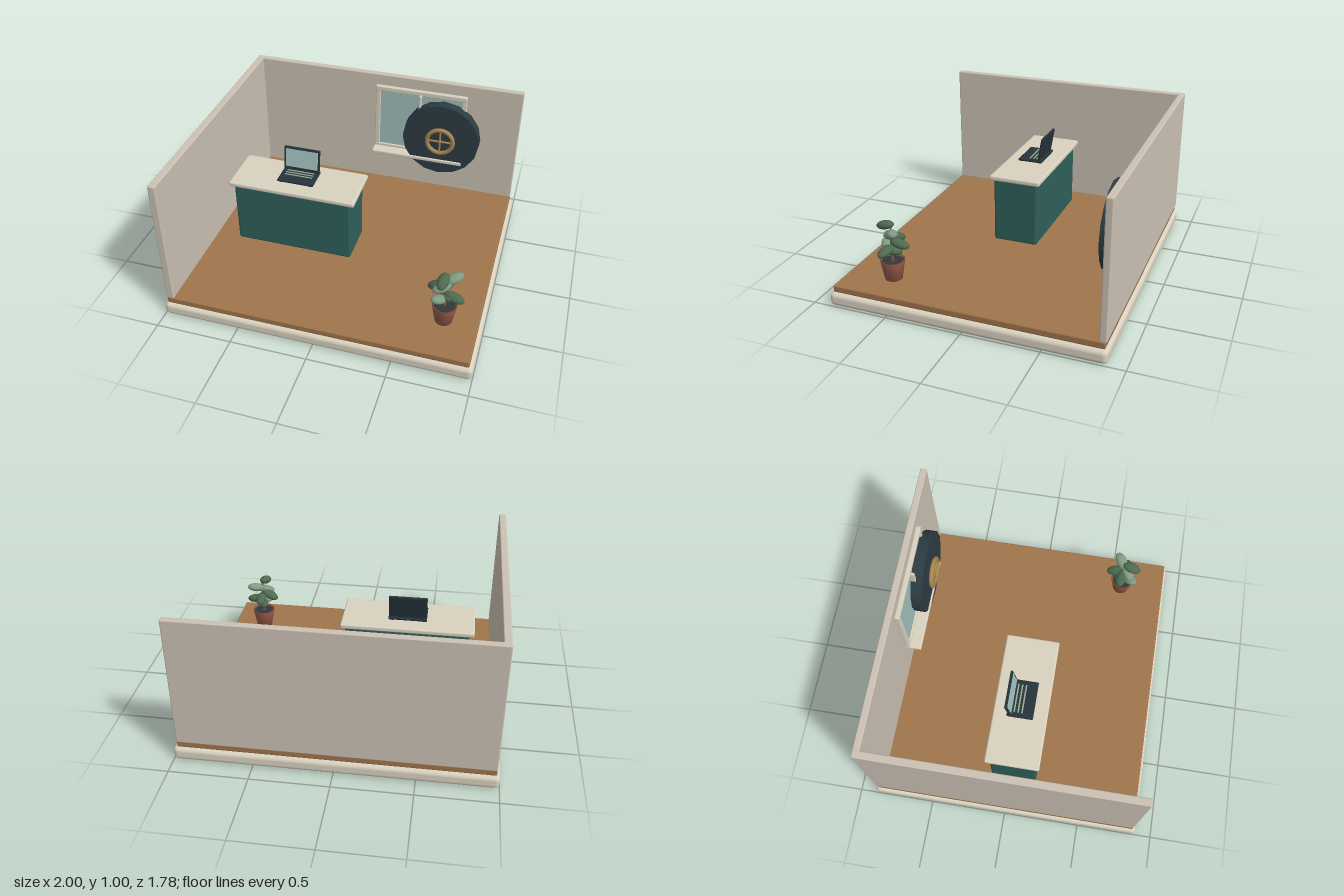
import * as THREE from 'three';
import { RoundedBoxGeometry } from 'three/addons/geometries/RoundedBoxGeometry.js';

const mat = (color) => new THREE.MeshStandardMaterial({ color });
const M = {
  cream: mat(0xd9d2c0), wall: mat(0xcbc1b3), wood: mat(0x9f744c), teal: mat(0x2f605b),
  dark: mat(0x26333a), glass: mat(0x9fbfbb), steel: mat(0x2c3c43), brass: mat(0xa8864f),
  keys: mat(0x8fa890), clay: mat(0x9a5e4a), soil: mat(0x33383a), stem: mat(0x7a5c40),
  leafDark: mat(0x4d6a50), leafLight: mat(0x809b83),
};

function add(parent, name, geometry, material, x = 0, y = 0, z = 0) {
  const mesh = new THREE.Mesh(geometry, material);
  mesh.name = name;
  mesh.position.set(x, y, z);
  parent.add(mesh);
  return mesh;
}

// Box given by its extents; r rounds the edges
function box(parent, name, material, [x0, x1], [y0, y1], [z0, z1], r = 0) {
  const w = x1 - x0, h = y1 - y0, d = z1 - z0;
  const geometry = r ? new RoundedBoxGeometry(w, h, d, 3, r) : new THREE.BoxGeometry(w, h, d);
  return add(parent, name, geometry, material, (x0 + x1) / 2, (y0 + y1) / 2, (z0 + z1) / 2);
}

function group(parent, name, x = 0, y = 0, z = 0) {
  const g = new THREE.Group();
  g.name = name;
  g.position.set(x, y, z);
  parent.add(g);
  return g;
}

function buildRoom(root) {
  const room = group(root, 'room');
  box(room, 'plinth', M.cream, [-1, 1], [0, 0.09], [-0.89, 0.89], 0.03);
  box(room, 'floor', M.wood, [-0.98, 0.975], [0.088, 0.135], [-0.87, 0.87], 0.01);
  box(room, 'backWall', M.wall, [-0.98, 0.975], [0.13, 1.005], [-0.877, -0.833], 0.008);
  box(room, 'sideWall', M.wall, [-0.98, -0.932], [0.13, 1.005], [-0.877, 0.87], 0.008);
}

function buildDesk(root) {
  const desk = group(root, 'desk');
  box(desk, 'deskBody', M.teal, [-0.77, 0.035], [0.138, 0.585], [-0.125, 0.18], 0.015);
  box(desk, 'deskTop', M.cream, [-0.8, 0.065], [0.581, 0.616], [-0.15, 0.2], 0.012);
}

function buildLaptop(root) {
  const laptop = group(root, 'laptop', -0.365, 0.616, 0);
  box(laptop, 'laptopBase', M.dark, [-0.125, 0.125], [0.008, 0.024], [-0.06, 0.11], 0.006);
  for (const x of [-0.1, 0.1])
    for (const z of [-0.04, 0.09])
      add(laptop, 'laptopFoot', new THREE.CylinderGeometry(0.009, 0.009, 0.01, 10), M.dark, x, 0.005, z);
  for (let i = 0; i < 3; i++) {
    const z = -0.015 + i * 0.025;
    box(laptop, 'keyRow', M.keys, [-0.095, 0.095], [0.022, 0.027], [z - 0.005, z + 0.005]);
  }
  // Lid hinges at the back edge and leans away
  const lid = group(laptop, 'laptopLid', 0, 0.022, -0.035);
  lid.rotation.x = -0.17;
  box(lid, 'lidShell', M.dark, [-0.124, 0.124], [0, 0.165], [-0.008, 0.008], 0.006);
  box(lid, 'screen', M.glass, [-0.112, 0.112], [0.022, 0.15], [0, 0.0095]);
}

function buildWindow(root) {
  const win = group(root, 'window');
  box(win, 'windowPane', M.glass, [-0.04, 0.57], [0.44, 0.9], [-0.835, -0.815]);
  for (const [x0, x1] of [[-0.065, -0.03], [0.56, 0.595]])
    box(win, 'windowJamb', M.cream, [x0, x1], [0.42, 0.925], [-0.835, -0.805], 0.006);
  for (const [y0, y1] of [[0.89, 0.925], [0.42, 0.45]])
    box(win, 'windowRail', M.cream, [-0.065, 0.595], [y0, y1], [-0.835, -0.803], 0.006);
  box(win, 'mullion', M.cream, [0.256, 0.274], [0.43, 0.9], [-0.815, -0.78], 0.005);
  box(win, 'windowSill', M.cream, [-0.068, 0.6], [0.403, 0.43], [-0.835, -0.727], 0.008);
}

function buildRoundDoor(root) {
  const door = group(root, 'roundDoor', 0.437, 0.594, -0.776);
  add(door, 'doorDisc', new THREE.CylinderGeometry(0.277, 0.277, 0.077, 16), M.steel).rotation.x = Math.PI / 2;
  const wheel = group(door, 'handWheel', 0, 0, 0.057);
  add(wheel, 'wheelRim', new THREE.TorusGeometry(0.094, 0.0155, 10, 32), M.brass);
  for (const angle of [0, Math.PI / 2])
    add(wheel, 'wheelSpoke', new THREE.CylinderGeometry(0.0075, 0.0075, 0.19, 8), M.brass).rotation.z = angle;
  const hub = add(wheel, 'wheelHub', new THREE.CylinderGeometry(0.01, 0.01, 0.04, 10), M.brass, 0, 0, -0.008);
  hub.rotation.x = Math.PI / 2;
}

function buildPlant(root) {
  const plant = group(root, 'plant', 0.754, 0.135, 0.565);
  // Open pot with a thick lip
  const profile = [[0, 0], [0.055, 0], [0.078, 0.13], [0.069, 0.13], [0.066, 0.11]];
  add(plant, 'pot', new THREE.LatheGeometry(profile.map(([x, y]) => new THREE.Vector2(x, y)), 20), M.clay);
  add(plant, 'soil', new THREE.CylinderGeometry(0.068, 0.066, 0.01, 20), M.soil, 0, 0.118, 0);
  add(plant, 'stem', new THREE.CylinderGeometry(0.007, 0.01, 0.23, 8), M.stem, 0, 0.235, 0);
  // Leaves: x, y, z, heading (0 = +x, 90 = +z), rise towards the tip, light?
  const leaves = [
    [-0.015, 0.355, 0.045, 98, -15, false],
    [0.04, 0.328, -0.03, -35, 15, true],
    [-0.02, 0.288, 0.025, 150, -18, true],
    [-0.058, 0.265, -0.015, 190, -25, false],
    [0, 0.25, -0.058, -92, -14, false],
    [0.058, 0.212, 0.012, 12, -12, false],
    [-0.03, 0.205, 0.045, 130, 20, true],
    [0.005, 0.197, -0.005, 60, 15, false],
  ];
  const leafShape = new THREE.SphereGeometry(1, 14, 10);
  for (const [x, y, z, heading, rise, light] of leaves) {
    const leaf = add(plant, 'leaf', leafShape, light ? M.leafLight : M.leafDark, x, y, z);
    leaf.scale.set(0.065, 0.028, 0.037);
    leaf.rotation.set(0, THREE.MathUtils.degToRad(-heading), THREE.MathUtils.degToRad(rise), 'YZX');
  }
}

export function createModel() {
  const root = new THREE.Group();
  root.name = 'officeRoom';
  buildRoom(root);
  buildDesk(root);
  buildLaptop(root);
  buildWindow(root);
  buildRoundDoor(root);
  buildPlant(root);
  return root;
}
